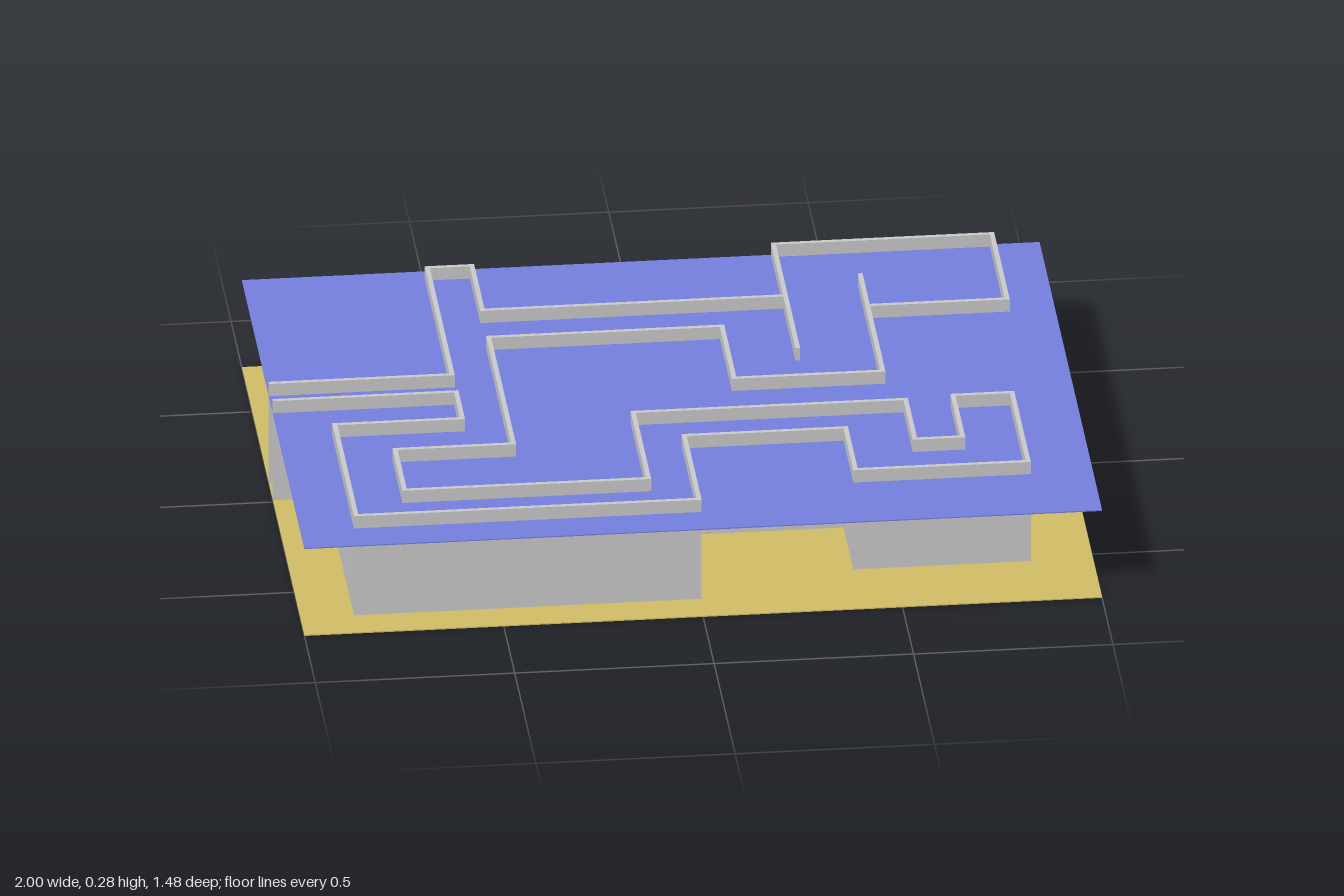
import * as THREE from 'three';

const T = 0.012;      // wall thickness
const H = 0.28;       // wall height
const DEPTH = 1.484;  // plate depth

const wallMat = new THREE.MeshStandardMaterial({ color: 0xcccccc, flatShading: true });

// Upright straight wall between two plan points, ends extended to close corners
function wall([x0, z0], [x1, z1], name) {
  const geo = new THREE.BoxGeometry(Math.abs(x1 - x0) + T, H, Math.abs(z1 - z0) + T);
  const mesh = new THREE.Mesh(geo, wallMat);
  mesh.position.set((x0 + x1) / 2, H / 2, (z0 + z1) / 2);
  mesh.name = name;
  return mesh;
}

// Run of walls following a polyline of [x, z] points
function wallRun(name, points) {
  const run = new THREE.Group();
  run.name = name;
  for (let i = 1; i < points.length; i++) run.add(wall(points[i - 1], points[i], 'wall'));
  return run;
}

// Wall along z with a doorway cut up from the floor
function doorWall(x, zBack, zFront, doorBack, doorFront, doorHeight) {
  const s = new THREE.Shape([
    [-zFront - T / 2, 0], [-doorFront, 0], [-doorFront, doorHeight], [-doorBack, doorHeight],
    [-doorBack, 0], [-zBack + T / 2, 0], [-zBack + T / 2, H], [-zFront - T / 2, H],
  ].map(([u, v]) => new THREE.Vector2(u, v)));
  const geo = new THREE.ExtrudeGeometry(s, { depth: T, bevelEnabled: false });
  geo.rotateY(Math.PI / 2); // shape x becomes -z, extrusion becomes +x
  geo.translate(x - T / 2, 0, 0);
  const mesh = new THREE.Mesh(geo, wallMat);
  mesh.name = 'doorwayWall';
  return mesh;
}

// Thin horizontal plate
function plate(name, y, color) {
  const t = 0.003;
  const mesh = new THREE.Mesh(
    new THREE.BoxGeometry(2, t, DEPTH),
    new THREE.MeshStandardMaterial({ color }));
  mesh.position.y = y + t / 2;
  mesh.name = name;
  return mesh;
}

export function createModel() {
  const model = new THREE.Group();
  model.name = 'mazeBuilding';

  // Floor and the ceiling sheet the walls poke through
  model.add(plate('floor', 0, 0xd2be66));
  model.add(plate('ceiling', 0.243, 0x7680e0));

  // Corridor wall on the back side
  model.add(wallRun('backCorridorWalls', [
    [-0.994, -0.105], [-0.54, -0.105], [-0.54, -0.697], [-0.428, -0.697],
    [-0.428, -0.45], [0.332, -0.45],
  ]));

  // Corner room with its doorway
  model.add(wallRun('roomBackWalls', [[0.332, -0.163], [0.332, -0.736], [0.88, -0.736]]));
  model.add(doorWall(0.88, -0.736, -0.375, -0.637, -0.55, 0.133));
  model.add(wallRun('roomFrontWall', [[0.88, -0.375], [0.53, -0.375]]));

  // Long winding wall round the rest of the maze
  model.add(wallRun('windingWalls', [
    [0.53, -0.545], [0.53, -0.012], [0.157, -0.012], [0.157, -0.3], [-0.428, -0.3],
    [-0.428, 0.29], [-0.725, 0.29], [-0.725, 0.515], [-0.113, 0.515], [-0.113, 0.149],
    [0.57, 0.149], [0.57, 0.369], [0.69, 0.369], [0.69, 0.139], [0.838, 0.139],
    [0.838, 0.521], [0.405, 0.521], [0.405, 0.289], [0, 0.289], [0, 0.642],
    [-0.86, 0.642], [-0.86, 0.138], [-0.54, 0.138], [-0.54, -0.01], [-0.994, -0.01],
  ]));

  return model;
}
